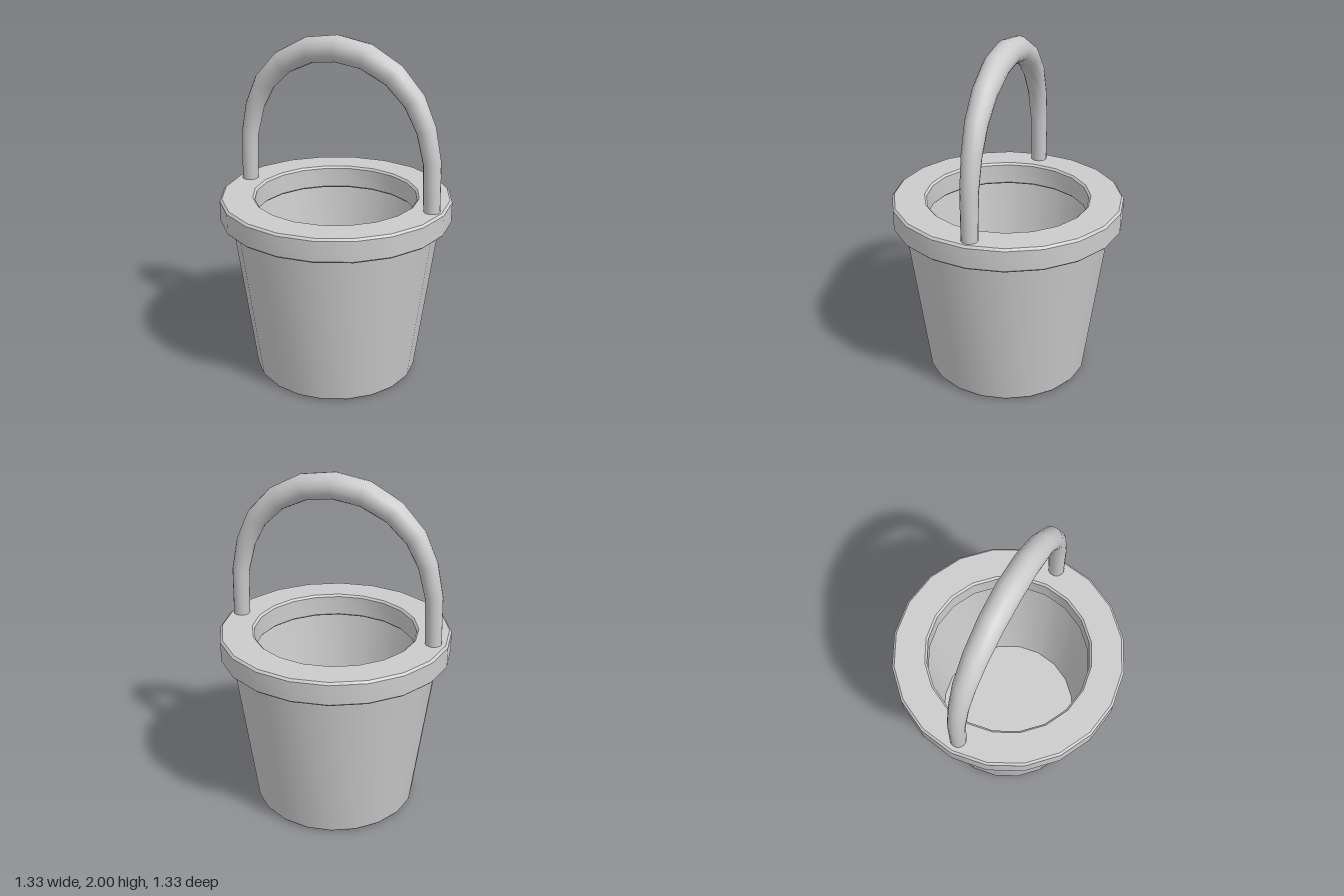
import * as THREE from 'three';
import { toCreasedNormals } from 'three/addons/utils/BufferGeometryUtils.js';

const SIDES = 20;
const material = new THREE.MeshStandardMaterial({ color: 0xcccccc });

// Spin a profile of [radius, height] points around the y axis
function spin(name, profile) {
  const points = profile.map(([r, y]) => new THREE.Vector2(r, y));
  const geometry = toCreasedNormals(new THREE.LatheGeometry(points, SIDES), 0.5);
  const mesh = new THREE.Mesh(geometry, material);
  mesh.name = name;
  return mesh;
}

// Round bar through [x, y, radius] stations lying in the z = 0 plane
function taperedBar(stations, sides) {
  const positions = [];
  const index = [];
  stations.forEach(([x, y, radius], i) => {
    const a = stations[Math.max(i - 1, 0)];
    const b = stations[Math.min(i + 1, stations.length - 1)];
    const along = new THREE.Vector2(b[0] - a[0], b[1] - a[1]).normalize();
    for (let j = 0; j < sides; j++) {
      const t = (j / sides) * Math.PI * 2;
      const c = Math.cos(t) * radius;
      positions.push(x - along.y * c, y + along.x * c, Math.sin(t) * radius);
      if (i < stations.length - 1) {
        const p = i * sides + j;
        const q = i * sides + ((j + 1) % sides);
        index.push(p, q, p + sides, q, q + sides, p + sides);
      }
    }
  });
  const geometry = new THREE.BufferGeometry();
  geometry.setAttribute('position', new THREE.Float32BufferAttribute(positions, 3));
  geometry.setIndex(index);
  geometry.computeVertexNormals();
  return geometry;
}

export function createModel() {
  const group = new THREE.Group();
  group.name = 'bucket';

  // Tapered outer wall with a small bevel around the base
  group.add(spin('outerWall', [[0, 0], [0.463, 0], [0.475, 0.015], [0.6, 0.95]]));

  // Inner wall and floor
  group.add(spin('innerWall', [[0.555, 0.95], [0.43, 0.05], [0, 0.05]]));

  // Thick bevelled rim overhanging the wall on both sides
  group.add(spin('rim', [
    [0.555, 0.947], [0.655, 0.947], [0.665, 0.957], [0.665, 1.073], [0.652, 1.085],
    [0.478, 1.085], [0.466, 1.073], [0.466, 0.957], [0.476, 0.947], [0.555, 0.947],
  ]));

  // Arched handle, thickest at the top, mirrored from one half
  const half = [
    [0.588, 1.05, 0.046], [0.579, 1.36, 0.05], [0.538, 1.54, 0.055],
    [0.465, 1.69, 0.062], [0.342, 1.815, 0.068], [0.174, 1.9, 0.073],
  ];
  const mirrored = half.map(([x, y, r]) => [-x, y, r]).reverse();
  const handle = new THREE.Mesh(taperedBar([...half, [0, 1.925, 0.075], ...mirrored].reverse(), 16), material);
  handle.name = 'handle';
  handle.position.x = 0.006;
  group.add(handle);

  return group;
}
